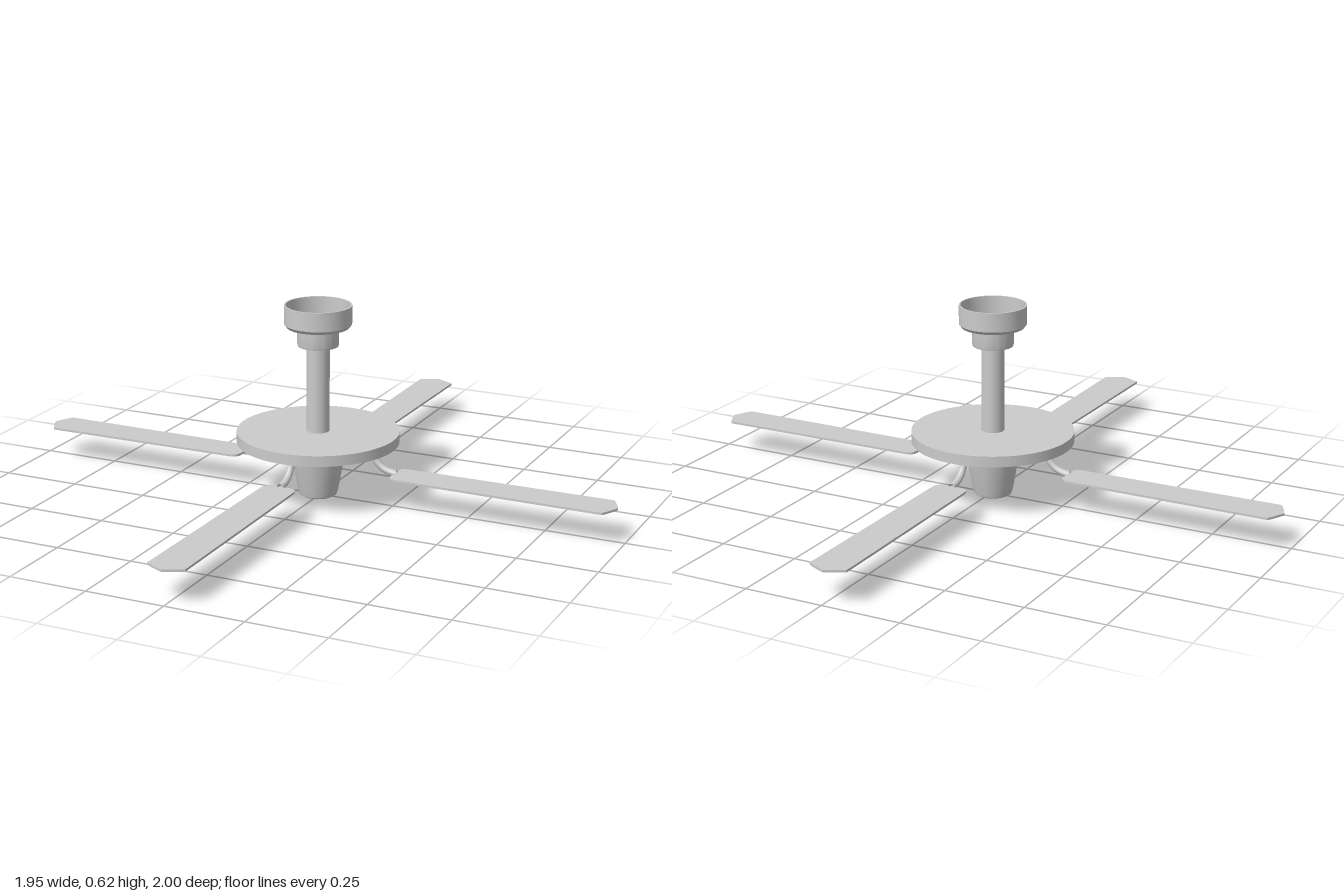
import * as THREE from 'three';
import { toCreasedNormals } from 'three/addons/utils/BufferGeometryUtils.js';

const HUB_X = -0.006;
const material = new THREE.MeshStandardMaterial({ color: 0xcccccc, side: THREE.DoubleSide });

function addMesh(parent, name, geometry) {
  const mesh = new THREE.Mesh(geometry, material);
  mesh.name = name;
  parent.add(mesh);
  return mesh;
}

// Turned part from [radius, height] pairs, with crisp edges
function turned(points) {
  const profile = points.map(([r, y]) => new THREE.Vector2(r, y));
  return toCreasedNormals(new THREE.LatheGeometry(profile, 48), 0.5);
}

// Flat blade along +x: rounded root, slightly flared sides, pointed tip
function bladeGeometry(root, tip) {
  const s = new THREE.Shape();
  const r = 0.03, a = 0.055, b = 0.06;
  s.moveTo(root + r, -a);
  s.lineTo(tip - 0.03, -b);
  s.quadraticCurveTo(tip - 0.015, -0.035, tip, 0);
  s.quadraticCurveTo(tip - 0.015, 0.035, tip - 0.03, b);
  s.lineTo(root + r, a);
  s.quadraticCurveTo(root, a, root, a - r);
  s.lineTo(root, -a + r);
  s.quadraticCurveTo(root, -a, root + r, -a);
  const g = new THREE.ExtrudeGeometry(s, { depth: 0.007, bevelEnabled: false, curveSegments: 6 });
  return g.rotateX(-Math.PI / 2).translate(0, 0.1, 0);
}

export function createModel() {
  const fan = new THREE.Group();
  fan.name = 'ceilingFan';

  const hub = new THREE.Group();
  hub.name = 'hub';
  hub.position.x = HUB_X;
  fan.add(hub);

  // Open ceiling cup with a stepped collar
  addMesh(hub, 'ceilingCup', turned([
    [0.036, 0.487], [0.063, 0.487], [0.065, 0.495], [0.065, 0.547], [0.097, 0.547],
    [0.105, 0.557], [0.105, 0.617], [0.1, 0.617], [0.1, 0.559], [0.06, 0.553],
    [0.06, 0.5], [0.036, 0.5],
  ]));
  addMesh(hub, 'downRod', new THREE.CylinderGeometry(0.036, 0.036, 0.3, 32).translate(0, 0.355, 0));
  addMesh(hub, 'motorDisc', new THREE.CylinderGeometry(0.255, 0.255, 0.034, 64).translate(0, 0.195, 0));

  // Motor collar and tapered cap below the disc
  addMesh(hub, 'motorCap', turned([
    [0, 0], [0.05, 0], [0.059, 0.005], [0.063, 0.018], [0.084, 0.135],
    [0.105, 0.135], [0.105, 0.178],
  ]));

  // Four curved arms with blades; the sideways pair is a little shorter
  const armCurve = new THREE.CubicBezierCurve3(
    new THREE.Vector3(0.186, 0.183, 0), new THREE.Vector3(0.186, 0.145, 0),
    new THREE.Vector3(0.215, 0.108, 0), new THREE.Vector3(0.268, 0.108, 0));
  const armGeometry = new THREE.TubeGeometry(armCurve, 14, 0.011, 12);
  const tips = [0.974 - HUB_X, 1, 0.974 + HUB_X, 1];
  tips.forEach((tip, i) => {
    const unit = new THREE.Group();
    unit.name = `bladeUnit${i + 1}`;
    unit.rotation.y = i * Math.PI / 2;
    addMesh(unit, 'arm', armGeometry);
    addMesh(unit, 'blade', bladeGeometry(0.259, tip));
    hub.add(unit);
  });

  return fan;
}
